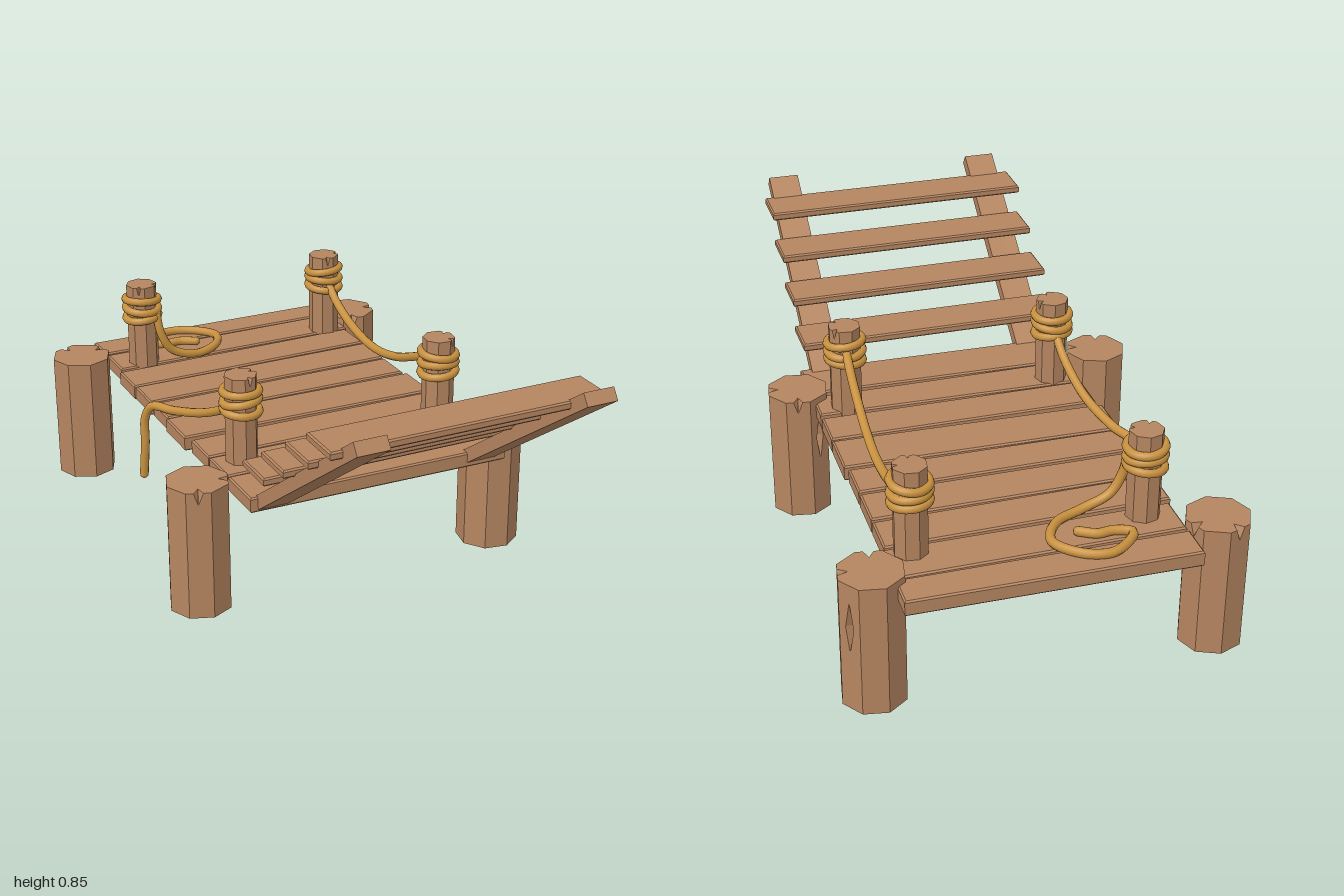
import * as THREE from 'three';

const wood = new THREE.MeshStandardMaterial({ color: 0xb58560, flatShading: true });
const ropeMat = new THREE.MeshStandardMaterial({ color: 0xc8913f });

function add(parent, name, geometry, material) {
  const mesh = new THREE.Mesh(geometry, material);
  mesh.name = name;
  parent.add(mesh);
  return mesh;
}

// Four-cornered board with chamfered edges; z values given at its -x and +x ends
function boardGeometry(x0, x1, back0, front0, back1, front1, y, height) {
  const b = 0.005;
  const shape = new THREE.Shape([
    new THREE.Vector2(x0, -front0), new THREE.Vector2(x1, -front1),
    new THREE.Vector2(x1, -back1), new THREE.Vector2(x0, -back0),
  ]);
  const g = new THREE.ExtrudeGeometry(shape, {
    depth: height - 2 * b, bevelThickness: b, bevelSize: b, bevelOffset: -b, bevelSegments: 1,
  });
  return g.rotateX(-Math.PI / 2).translate(0, y + b, 0);
}

// Eight-sided log with a split in face 0 and notches in the top of faces 1 and 3
function logGeometry(r, height, split) {
  const rows = [0, 0.47, 0.66, 0.85, 0.91, 1];
  const inner = r * Math.cos(Math.PI / 8);
  const pos = [], index = [];
  let n = 0;
  rows.forEach((v, row) => {
    n = 0;
    const put = (x, z) => { pos.push(x, v * height, z); n++; };
    for (let k = 0; k < 8; k++) {
      const a = k * Math.PI / 4, c = Math.cos(a), s = Math.sin(a);
      const corner = a - Math.PI / 8;
      put(r * Math.cos(corner), r * Math.sin(corner));
      if (k !== 0 && k !== 1 && k !== 3) continue;
      const open = k === 0 ? (row === 2 ? split : 0) : (row === 5 ? 1 : 0);
      const w = r * (0.02 + 0.13 * open), d = inner - r * 0.3 * open;
      put(c * inner + s * w, s * inner - c * w);
      put(c * d, s * d);
      put(c * inner - s * w, s * inner + c * w);
    }
  });
  const last = (rows.length - 1) * n, bottom = rows.length * n, top = bottom + 1;
  pos.push(0, 0, 0, 0, height, 0);
  for (let i = 0; i < n; i++) {
    const j = (i + 1) % n;
    for (let o = 0; o < last; o += n) {
      index.push(o + j, o + i, o + n + i, o + j, o + n + i, o + n + j);
    }
    index.push(bottom, i, j, top, last + j, last + i);
  }
  const g = new THREE.BufferGeometry();
  g.setAttribute('position', new THREE.Float32BufferAttribute(pos, 3));
  g.setIndex(index);
  g.computeVertexNormals();
  return g;
}

// Rope through a few points, with rounded ends
function rope(parent, name, points) {
  const group = new THREE.Group();
  group.name = name;
  parent.add(group);
  const pts = points.map((p) => new THREE.Vector3(...p));
  const r = 0.0145;
  add(group, 'strand', new THREE.TubeGeometry(new THREE.CatmullRomCurve3(pts), 64, r, 10), ropeMat);
  for (const p of [pts[0], pts[pts.length - 1]]) {
    add(group, 'strandEnd', new THREE.SphereGeometry(r, 10, 8), ropeMat).position.copy(p);
  }
}

export function createModel() {
  const model = new THREE.Group();
  model.name = 'dock';

  // Deck planks, slightly uneven
  [
    [-0.407, 0.465, -1.0, -0.884, -0.995, -0.886],
    [-0.405, 0.465, -0.87, -0.73, -0.88, -0.735],
    [-0.418, 0.455, -0.71, -0.573, -0.725, -0.588],
    [-0.415, 0.455, -0.568, -0.43, -0.575, -0.433],
    [-0.41, 0.455, -0.415, -0.29, -0.42, -0.288],
    [-0.418, 0.465, -0.285, -0.127, -0.272, -0.11],
    [-0.405, 0.465, -0.1, 0.037, -0.1, 0.037],
    [-0.405, 0.465, 0.043, 0.185, 0.058, 0.18],
    [-0.405, 0.465, 0.19, 0.355, 0.205, 0.37],
  ].forEach((p) => add(model, 'deckPlank', boardGeometry(...p, 0.355, 0.05), wood));

  // Corner piles
  [
    [-0.503, -0.862, -156], [0.524, -0.852, -35],
    [-0.513, 0.206, -25], [0.508, 0.21, -125],
  ].forEach(([x, z, deg]) => {
    const pile = add(model, 'pile', logGeometry(0.1, 0.426, 1), wood);
    pile.position.set(x, 0, z);
    pile.rotation.y = -THREE.MathUtils.degToRad(deg);
  });

  // Mooring posts with three turns of rope
  [[-0.307, -0.767], [0.386, -0.762], [-0.317, 0.095], [0.37, 0.1]].forEach(([x, z], i) => {
    const group = new THREE.Group();
    group.name = 'mooringPost';
    group.position.set(x, 0, z);
    model.add(group);
    const post = add(group, 'post', logGeometry(0.052, 0.325, 0), wood);
    post.position.y = 0.365;
    post.rotation.y = 0.25 + i * 0.4;
    for (let k = 0; k < 3; k++) {
      const turn = new THREE.TorusGeometry(0.056, 0.0135, 8, 28).rotateX(Math.PI / 2);
      const wrap = add(group, 'ropeTurn', turn, ropeMat);
      wrap.position.y = 0.575 + k * 0.031;
      wrap.rotation.set(0.1 * Math.sin(i + k * 2), 0, 0.1 * Math.cos(i * 2 + k * 2));
    }
  });

  // Ladder rails leaning out from the front edge
  for (const x of [-0.33, 0.38]) {
    const dy = 0.452, dz = 0.636;
    const rail = add(model, 'ladderRail', new THREE.BoxGeometry(0.1, 0.042, Math.hypot(dy, dz)), wood);
    rail.position.set(x, 0.38 + dy / 2, 0.343 + dz / 2);
    rail.rotation.x = -Math.atan2(dy, dz);
  }

  // Ladder treads
  for (let i = 0; i < 4; i++) {
    const z = 0.32 + i * 0.148, y = 0.496 + i * 0.0927;
    const x0 = i % 2 ? -0.418 : -0.412;
    add(model, 'ladderTread', boardGeometry(x0, 0.458, z, z + 0.147, z, z + 0.147, y, 0.026), wood);
  }

  // Rope slung between the two left posts
  rope(model, 'slungRope', [
    [0.375, 0.61, 0.05], [0.38, 0.565, -0.05], [0.384, 0.5, -0.22], [0.386, 0.476, -0.37],
    [0.386, 0.495, -0.53], [0.386, 0.545, -0.66], [0.386, 0.58, -0.71],
  ]);

  // Rope that runs over the deck and hangs off its side
  rope(model, 'hangingRope', [
    [-0.317, 0.58, 0.045], [-0.322, 0.53, -0.02], [-0.345, 0.462, -0.16], [-0.39, 0.423, -0.3],
    [-0.428, 0.41, -0.385], [-0.443, 0.36, -0.412], [-0.445, 0.27, -0.415], [-0.45, 0.15, -0.425],
  ]);

  // Loose rope end looped on the deck
  rope(model, 'loopedRope', [
    [-0.272, 0.6, -0.725], [-0.262, 0.52, -0.712], [-0.225, 0.455, -0.71], [-0.14, 0.421, -0.715],
    [-0.045, 0.419, -0.76], [-0.003, 0.419, -0.85], [-0.07, 0.419, -0.93], [-0.15, 0.419, -0.948],
    [-0.22, 0.419, -0.9], [-0.24, 0.419, -0.865], [-0.19, 0.42, -0.845], [-0.14, 0.42, -0.848],
    [-0.09, 0.42, -0.822],
  ]);

  return model;
}
